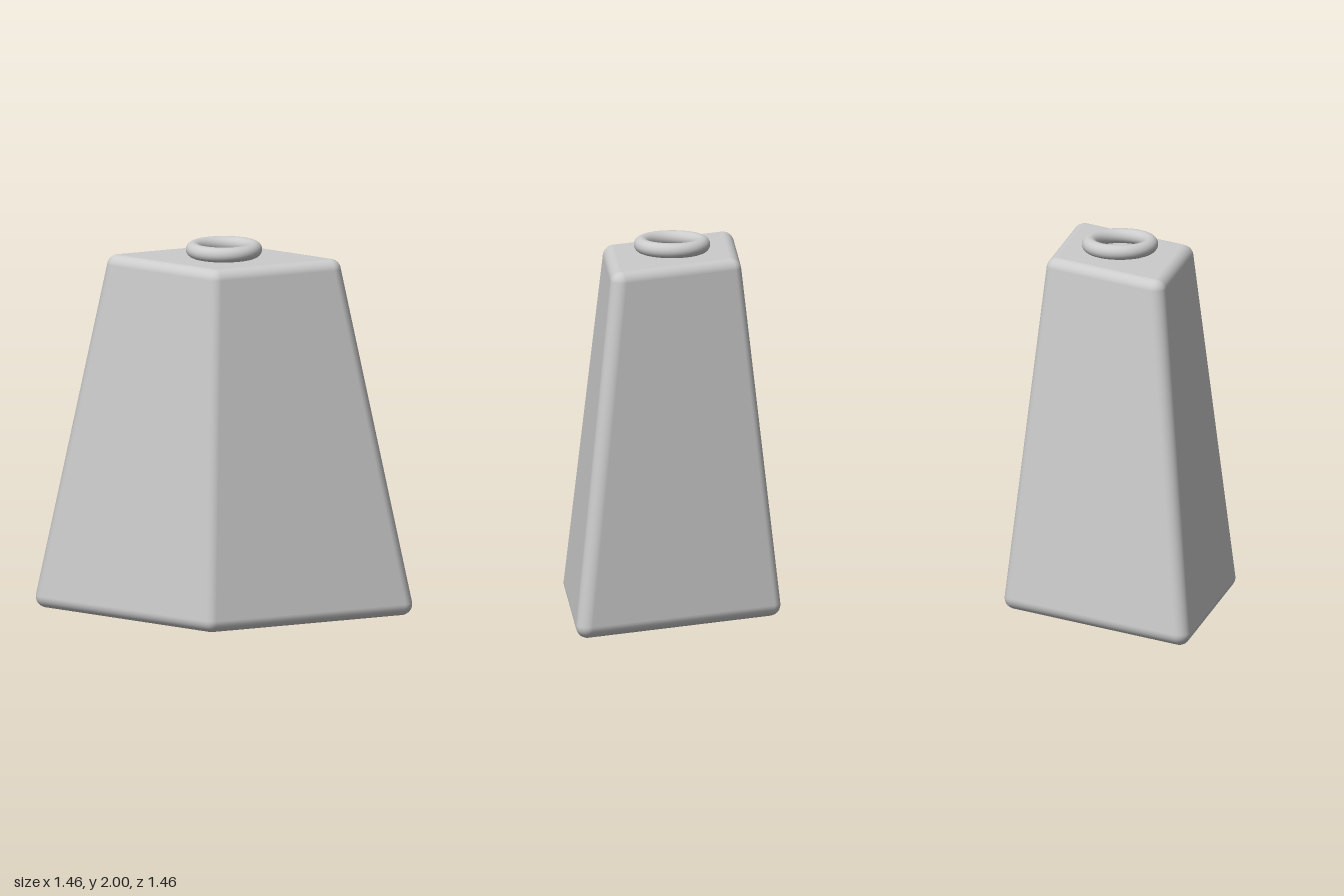
import * as THREE from 'three';

const RADIUS = 0.06;      // edge rounding
const HEIGHT = 1.92;      // body height without the ring
const LOW = 0.67, HIGH = 0.40; // long half-diagonal offsets of the rounding centres
const SHORT = 0.62;       // short diagonal relative to the long one
const STEPS = 8;

// Tapered rhombic block: each outline corner is an arc, each rim a quarter round.
function roundedFrustum() {
  const outline = [];
  const side = Math.atan((1 - SHORT) / (1 + SHORT)); // heading of the first side's normal
  const starts = [side, Math.PI / 2 - side, Math.PI + side, 1.5 * Math.PI - side];
  for (let k = 0; k < 4; k++) {
    const end = k < 3 ? starts[k + 1] : 2 * Math.PI + side;
    const mid = Math.PI / 4 + k * Math.PI / 2;
    const reach = (k % 2 ? 1 : SHORT) * Math.SQRT2;
    for (let i = 0; i <= STEPS; i++) {
      outline.push({
        phi: starts[k] + (end - starts[k]) * i / STEPS,
        cx: reach * Math.cos(mid), cz: reach * Math.sin(mid)
      });
    }
  }
  outline.push(outline[0]);

  // Rows run from the underside centre, round the rims, to the top centre
  const inset = (LOW - HIGH) * SHORT * Math.SQRT2 * Math.cos(Math.PI / 4 - side);
  const lean = Math.atan(inset / (HEIGHT - 2 * RADIUS));
  const rows = [{ theta: -Math.PI / 2, size: 0, y: RADIUS }];
  for (let i = 0; i <= STEPS; i++) {
    rows.push({ theta: -Math.PI / 2 + (Math.PI / 2 + lean) * i / STEPS, size: LOW, y: RADIUS });
  }
  for (let i = 0; i <= STEPS; i++) {
    rows.push({ theta: lean + (Math.PI / 2 - lean) * i / STEPS, size: HIGH, y: HEIGHT - RADIUS });
  }
  rows.push({ theta: Math.PI / 2, size: 0, y: HEIGHT - RADIUS });

  const positions = [], normals = [], index = [];
  const n = outline.length;
  rows.forEach(({ theta, size, y }, r) => {
    outline.forEach(({ phi, cx, cz }, j) => {
      const nx = Math.cos(theta) * Math.cos(phi);
      const ny = Math.sin(theta);
      const nz = Math.cos(theta) * Math.sin(phi);
      positions.push(cx * size + RADIUS * nx, y + RADIUS * ny, cz * size + RADIUS * nz);
      normals.push(nx, ny, nz);
      if (r < rows.length - 1 && j < n - 1) {
        const a = r * n + j, b = a + 1, c = a + n, d = c + 1;
        index.push(a, c, b, b, c, d);
      }
    });
  });
  const geometry = new THREE.BufferGeometry();
  geometry.setAttribute('position', new THREE.Float32BufferAttribute(positions, 3));
  geometry.setAttribute('normal', new THREE.Float32BufferAttribute(normals, 3));
  geometry.setIndex(index);
  return geometry;
}

export function createModel() {
  const group = new THREE.Group();
  group.name = 'weight';
  const material = new THREE.MeshStandardMaterial({ color: 0xcccccc });

  const body = new THREE.Mesh(roundedFrustum(), material);
  body.name = 'body';
  group.add(body);

  // Ring lying flat on the top
  const ring = new THREE.Mesh(new THREE.TorusGeometry(0.163, 0.04, 24, 64), material);
  ring.name = 'topRing';
  ring.rotation.x = Math.PI / 2;
  ring.position.y = HEIGHT + 0.04;
  group.add(ring);

  return group;
}
